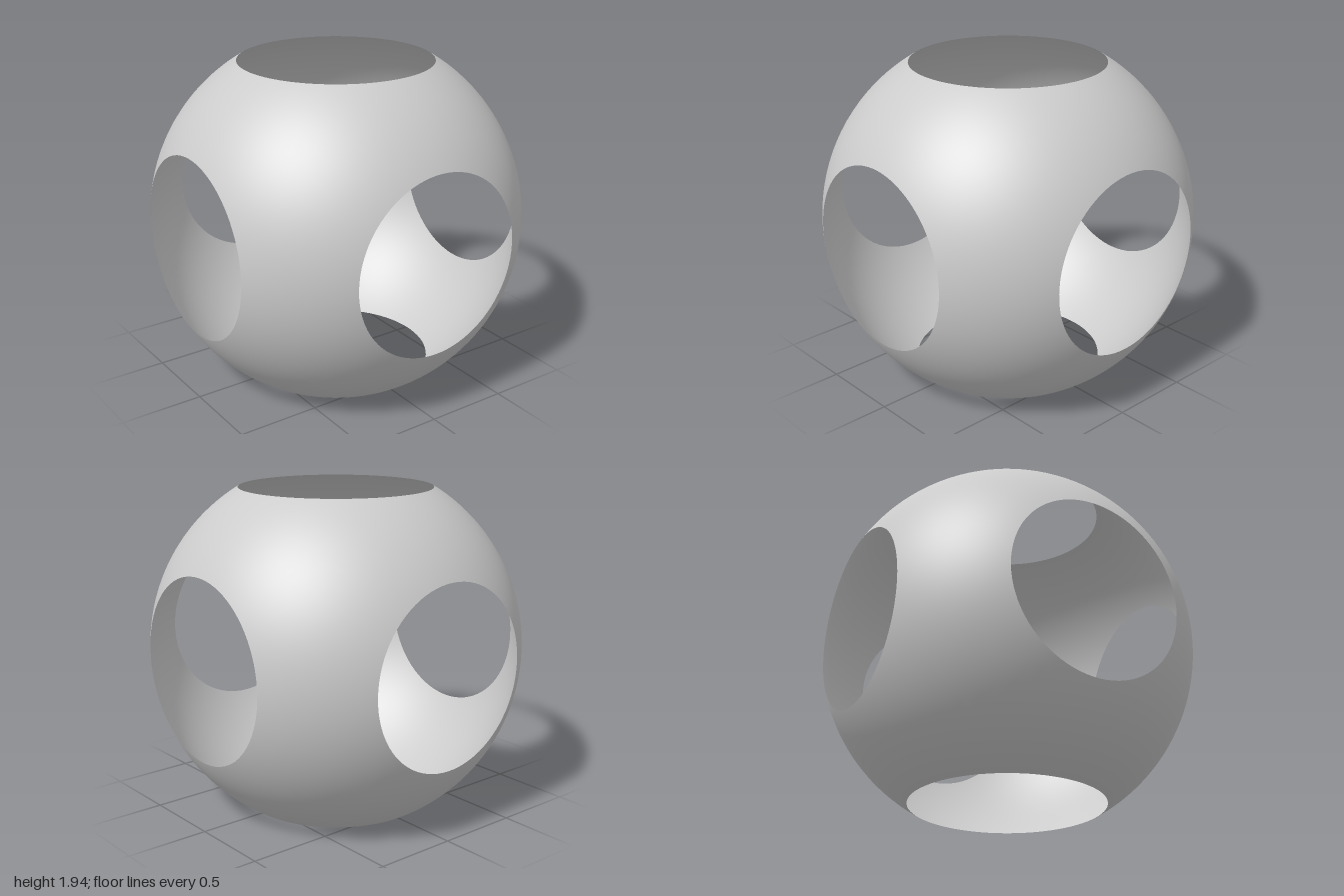
import * as THREE from 'three';

const RADIUS = 1.132;      // sphere radius
const CENTRE_Y = 0.97;     // half the height between the two flat openings

// One sixth of the sphere, facing +z, with a round opening whose rim lies at z = rimDepth
function panelGeometry(rimDepth) {
  const rimTan = Math.sqrt(RADIUS ** 2 - rimDepth ** 2) / rimDepth;
  const geo = new THREE.PlaneGeometry(1, 1, 12, 80);
  const pos = geo.attributes.position;
  const nor = geo.attributes.normal;
  const dir = new THREE.Vector3();
  for (let i = 0; i < pos.count; i++) {
    const t = pos.getX(i) + 0.5;                       // 0 at the rim, 1 at the panel border
    const a = (pos.getY(i) + 0.5) * Math.PI * 2;
    const c = Math.cos(a), s = Math.sin(a);
    const borderTan = 1 / Math.max(Math.abs(c), Math.abs(s));
    const r = Math.tan(THREE.MathUtils.lerp(Math.atan(rimTan), Math.atan(borderTan), t));
    dir.set(c * r, s * r, 1).normalize();
    nor.setXYZ(i, dir.x, dir.y, dir.z);
    pos.setXYZ(i, dir.x * RADIUS, dir.y * RADIUS, dir.z * RADIUS);
  }
  return geo;
}

export function createModel() {
  const model = new THREE.Group();
  model.name = 'piercedSphere';
  const material = new THREE.MeshStandardMaterial({ color: 0xcccccc, side: THREE.DoubleSide });

  const sidePanel = panelGeometry(0.993);
  const polePanel = panelGeometry(CENTRE_Y);           // slightly wider openings at top and bottom
  const q = Math.PI / 2;

  // Six panels, one opening per axis direction
  const panels = [
    ['frontPanel', sidePanel, 0, 0],
    ['leftPanel', sidePanel, 0, q],
    ['backPanel', sidePanel, 0, 2 * q],
    ['rightPanel', sidePanel, 0, -q],
    ['topPanel', polePanel, -q, 0],
    ['bottomPanel', polePanel, q, 0],
  ];
  for (const [name, geometry, rx, ry] of panels) {
    const mesh = new THREE.Mesh(geometry, material);
    mesh.name = name;
    mesh.rotation.set(rx, ry, 0);
    mesh.position.y = CENTRE_Y;
    model.add(mesh);
  }
  return model;
}
